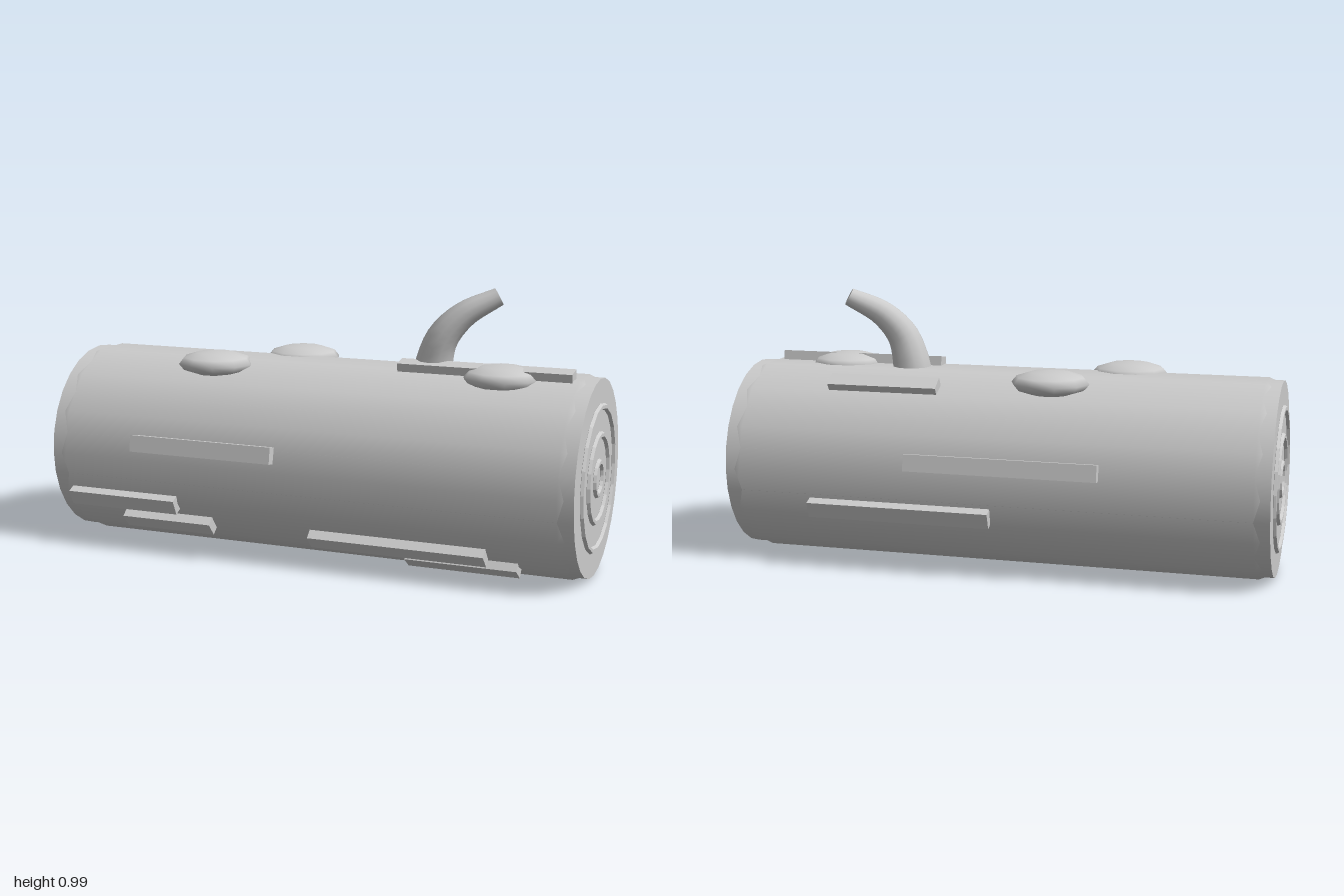
import * as THREE from 'three';

const CY = 0.355; // height of the log's axis
const mat = new THREE.MeshStandardMaterial({ color: 0xcccccc });
const flat = new THREE.MeshStandardMaterial({ color: 0xcccccc, flatShading: true });

function add(parent, name, geometry, material = mat) {
  const mesh = new THREE.Mesh(geometry, material);
  mesh.name = name;
  parent.add(mesh);
  return mesh;
}

// Curved branch: a tube whose rings shrink towards the tip, closed by a disc
function branch(parent) {
  const path = new THREE.CatmullRomCurve3([
    [0.375, 0.62, 0.003], [0.39, 0.735, 0.004], [0.42, 0.82, 0.005], [0.49, 0.9, -0.015], [0.605, 0.965, -0.06],
  ].map((p) => new THREE.Vector3(...p)));
  const rings = 16, sides = 12;
  const radius = (t) => 0.08 - 0.047 * t;
  const geo = new THREE.TubeGeometry(path, rings, 1, sides, false);
  const pos = geo.attributes.position;
  const v = new THREE.Vector3();
  for (let i = 0; i <= rings; i++) {
    const t = i / rings, c = path.getPointAt(t);
    for (let j = 0; j <= sides; j++) {
      const k = i * (sides + 1) + j;
      v.fromBufferAttribute(pos, k).sub(c).multiplyScalar(radius(t)).add(c);
      pos.setXYZ(k, v.x, v.y, v.z);
    }
  }
  add(parent, 'branch', geo);
  const tip = add(parent, 'branchTip', new THREE.CircleGeometry(radius(1), sides));
  tip.position.copy(path.getPointAt(1));
  tip.quaternion.setFromUnitVectors(new THREE.Vector3(0, 0, 1), path.getTangentAt(1));
}

export function createModel() {
  const model = new THREE.Group();
  model.name = 'log';

  // Bark: fourteen-sided shell, drawn in slightly at both ends
  const profile = [[0.34, -0.98], [0.36, -0.93], [0.36, 0.93], [0.34, 0.98]];
  const bark = add(model, 'bark',
    new THREE.LatheGeometry(profile.map((p) => new THREE.Vector2(...p)), 14));
  bark.rotation.z = -Math.PI / 2;
  bark.position.y = CY;

  // Core: shows as the wavy rim and the cut end faces
  const core = add(model, 'core', new THREE.CylinderGeometry(0.351, 0.351, 1.974, 28));
  core.rotation.z = -Math.PI / 2;
  core.position.y = CY;

  // Growth rings on both cut ends
  for (const side of [-1, 1]) {
    for (const [r, sides] of [[0.253, 20], [0.154, 20], [0.058, 16]]) {
      const ring = add(model, 'growthRing', new THREE.TorusGeometry(r, 0.012, 6, sides), flat);
      ring.rotation.y = Math.PI / 2;
      ring.position.set(side * 0.988, CY, 0);
    }
  }

  // Bark strips: start x, end x, angle round the axis in degrees (0 = front, 90 = top)
  const strips = [
    [-0.645, -0.09, 10], [-0.4, 0.295, 170], [-0.01, 0.665, 200], [0.22, 0.63, 122.5], [0.28, 0.91, 80],
    [-0.92, -0.485, -26], [-0.72, -0.365, -41], [0.02, 0.67, -42.5], [0.37, 0.775, -53],
  ];
  for (const [x0, x1, deg] of strips) {
    const a = THREE.MathUtils.degToRad(deg);
    const strip = add(model, 'barkStrip', new THREE.BoxGeometry(x1 - x0, 0.06, 0.04));
    strip.position.set((x0 + x1) / 2, CY + 0.366 * Math.sin(a), 0.366 * Math.cos(a));
    strip.rotation.x = -a;
  }

  // Moss patches: flattened low-poly spheres sitting on top
  for (const [x, y, z] of [[-0.42, 0.692, 0.12], [-0.183, 0.69, -0.15], [0.655, 0.698, 0.06]]) {
    const moss = add(model, 'mossPatch', new THREE.SphereGeometry(1, 10, 6));
    moss.scale.set(0.142, 0.046, 0.128);
    moss.position.set(x, y, z);
  }

  branch(model);
  return model;
}
